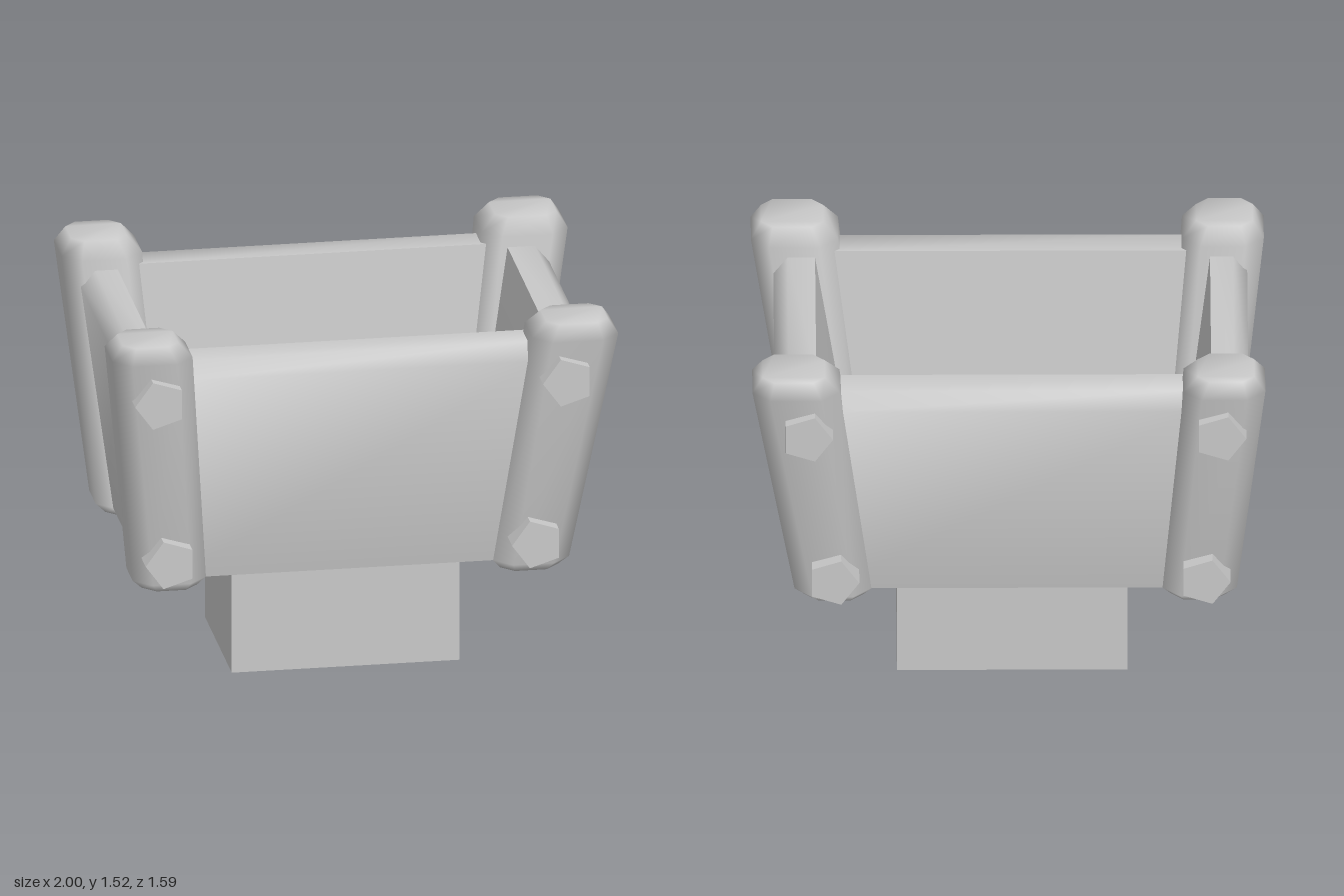
import * as THREE from 'three';
import { toCreasedNormals } from 'three/addons/utils/BufferGeometryUtils.js';

const stone = new THREE.MeshStandardMaterial({ color: 0xc8c8c8 });
stone.name = 'plain grey';

// Leaning wall: profile measured outwards from the centre, extruded along its length
function wallGeometry(innerFloor, innerTop, outerTop, outerBottom, length) {
  const shape = new THREE.Shape([
    [innerFloor - 0.03, 0.48], [outerBottom, 0.48],
    [outerTop, 1.355], [outerTop - 0.055, 1.42],
    [innerTop, 1.42], [innerFloor, 0.73],
  ].map(([x, y]) => new THREE.Vector2(x, y)));
  const g = new THREE.ExtrudeGeometry(shape, { depth: length, bevelEnabled: false });
  g.translate(0, 0, -length / 2);
  return toCreasedNormals(g, 1.2);
}

// Eight-sided post: chamfered rectangles lofted from a lower to an upper one,
// with the end rings drawn in to chamfer the top and bottom
function postGeometry(low, high) {
  const rings = [[0.44, 0.035], [0.48, 0], [1.46, 0], [1.52, 0.05]];
  const c = 0.07;
  const pos = [], index = [];
  rings.forEach(([y, inset], r) => {
    const t = (y - 0.48) / 0.98;
    const [xa, xb, za, zb] = low.map((v, i) =>
      THREE.MathUtils.lerp(v, high[i], t) + (i % 2 ? -inset : inset));
    const k = c - inset * 0.5;
    pos.push(
      xb, y, za + k, xb, y, zb - k, xb - k, y, zb, xa + k, y, zb,
      xa, y, zb - k, xa, y, za + k, xa + k, y, za, xb - k, y, za);
    if (r === 0) return;
    for (let i = 0; i < 8; i++) {
      const a = (r - 1) * 8 + i, b = (r - 1) * 8 + (i + 1) % 8;
      index.push(a, a + 8, b, b, a + 8, b + 8);
    }
  });
  // Flat end caps
  const top = (rings.length - 1) * 8;
  for (let i = 1; i < 7; i++) {
    index.push(0, i, i + 1);
    index.push(top, top + i + 1, top + i);
  }
  const g = new THREE.BufferGeometry();
  g.setAttribute('position', new THREE.Float32BufferAttribute(pos, 3));
  g.setIndex(index);
  g.computeVertexNormals();
  return g;
}

// Five-sided bolt lying along z, one corner towards -x
function boltGeometry() {
  const shape = new THREE.Shape();
  for (let i = 0; i < 5; i++) {
    const a = Math.PI + i * Math.PI * 2 / 5;
    shape[i ? 'lineTo' : 'moveTo'](0.102 * Math.cos(a), 0.102 * Math.sin(a));
  }
  const g = new THREE.ExtrudeGeometry(shape, { depth: 0.22, bevelEnabled: false });
  return g.translate(0, 0, -0.11);
}

export function createModel() {
  const model = new THREE.Group();
  model.name = 'planter';
  const add = (name, geometry, x = 0, y = 0, z = 0, turn = 0) => {
    const mesh = new THREE.Mesh(geometry, stone);
    mesh.name = name;
    mesh.position.set(x, y, z);
    mesh.rotation.y = turn;
    model.add(mesh);
  };

  // Foot and floor
  add('foot', new THREE.BoxGeometry(0.9, 0.48, 0.635), -0.015, 0.24, 0);
  add('floor', new THREE.BoxGeometry(1.4, 0.25, 0.86), -0.04, 0.605, 0);

  // Four walls
  const longWall = wallGeometry(0.39, 0.49, 0.672, 0.517, 1.42);
  add('frontWall', longWall, -0.01, 0, 0, -Math.PI / 2);
  add('backWall', longWall, -0.01, 0, 0, Math.PI / 2);
  add('leftWall', wallGeometry(0.63, 0.75, 0.913, 0.76, 1.0));
  add('rightWall', wallGeometry(0.7, 0.79, 0.935, 0.83, 1.0), 0, 0, 0, Math.PI);

  // Corner posts, each with two bolts
  const sides = [
    { name: 'Left', low: [0.535, 0.835], high: [0.66, 1.0], bolts: [0.685, 0.788] },
    { name: 'Right', low: [-0.89, -0.6], high: [-1.0, -0.682], bolts: [-0.763, -0.824] },
  ];
  const bolt = boltGeometry();
  for (const s of sides) {
    for (const [end, dir] of [['front', 1], ['back', -1]]) {
      const zLow = dir > 0 ? [0.3, 0.587] : [-0.587, -0.295];
      const zHigh = dir > 0 ? [0.445, 0.765] : [-0.77, -0.445];
      add(end + s.name + 'Post', postGeometry([...s.low, ...zLow], [...s.high, ...zHigh]));
      add(end + s.name + 'LowerBolt', bolt, s.bolts[0], 0.595, dir * 0.57);
      add(end + s.name + 'UpperBolt', bolt, s.bolts[1], 1.303, dir * 0.687);
    }
  }
  return model;
}
